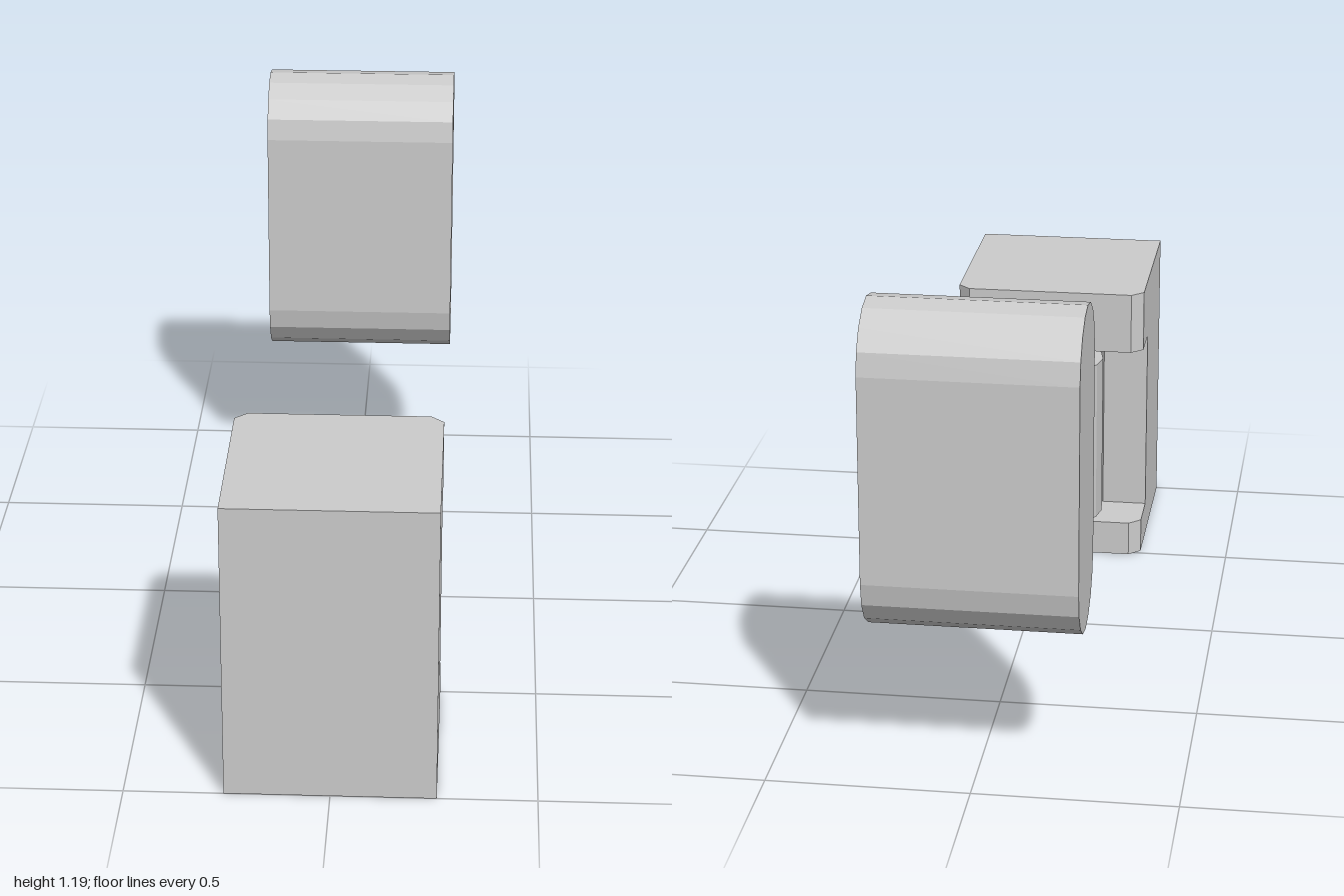
import * as THREE from 'three';

const material = new THREE.MeshStandardMaterial({ color: 0xcccccc, flatShading: true });
const thin = new THREE.MeshStandardMaterial({ color: 0xcccccc, flatShading: true, side: THREE.DoubleSide });

function add(parent, name, geometry, mat = material) {
  const mesh = new THREE.Mesh(geometry, mat);
  mesh.name = name;
  parent.add(mesh);
  return mesh;
}

// Extrudes a plan outline (x, -z) upwards from y0 to y1
function slab(shape, y0, y1) {
  return new THREE.ExtrudeGeometry(shape, { depth: y1 - y0, bevelEnabled: false, curveSegments: 8 })
    .rotateX(-Math.PI / 2).translate(0, y0, 0);
}

// Upright pill outline, ends rounded in 8 facets
function pill(cx, y0, y1, r, Type = THREE.Shape) {
  const points = [];
  for (const [cy, start] of [[y1 - r, 0], [y0 + r, Math.PI]]) {
    for (let i = 0; i <= 8; i++) {
      const a = start + i * Math.PI / 8;
      points.push(new THREE.Vector2(cx + r * Math.cos(a), cy + r * Math.sin(a)));
    }
  }
  return new Type(points);
}

const W = 0.257, BACK = 0.487, POT_Z = 0.554;

function createMachine() {
  const machine = new THREE.Group();
  machine.name = 'machine';

  // Base and overhang share a plan with two chamfered corners
  const plan = new THREE.Shape([
    [-W, -1], [W, -1], [W, -BACK - 0.03], [W - 0.032, -BACK], [-W + 0.032, -BACK], [-W, -BACK - 0.03],
  ].map(p => new THREE.Vector2(...p)));
  add(machine, 'base', slab(plan, 0, 0.095));
  add(machine, 'overhang', slab(plan, 0.605, 0.772));

  // Column with a round niche for the pot
  const column = new THREE.Shape();
  column.moveTo(-W, -1);
  column.lineTo(W, -1);
  column.lineTo(W, -0.64);
  const a = Math.asin((0.64 - POT_Z) / 0.16);
  column.absarc(0, -POT_Z, 0.16, -a, -Math.PI + a, true);
  column.lineTo(-W, -0.64);
  column.closePath();
  add(machine, 'column', slab(column, 0.095, 0.605));
  return machine;
}

function createPot() {
  const pot = new THREE.Group();
  pot.name = 'pot';
  add(pot, 'potBody', new THREE.CylinderGeometry(0.141, 0.141, 0.457, 16)).position.set(0, 0.3325, POT_Z);
  add(pot, 'potLid', new THREE.CylinderGeometry(0.111, 0.111, 0.06, 16)).position.set(0, 0.59, POT_Z);

  // Looped handle
  const loop = pill(0, 0.139, 0.502, 0.063);
  loop.holes.push(pill(0, 0.172, 0.46, 0.051, THREE.Path));
  const geometry = new THREE.ExtrudeGeometry(loop, { depth: 0.06, bevelEnabled: false })
    .translate(0, 0, -0.03).rotateY(Math.PI / 2);
  add(pot, 'potHandle', geometry).position.z = 0.355;
  return pot;
}

// Hollow pill-shaped tank, open in the middle of its left end
function createTank() {
  const tank = new THREE.Group();
  tank.name = 'tank';
  const r = 0.1475, y0 = 0.38, y1 = 1.19;
  const outline = pill(0, y0, y1, r);
  const pts = outline.getPoints();
  const positions = [];
  for (let i = 0; i < 18; i++) {
    const p = pts[i], q = pts[(i + 1) % 18];
    positions.push(p.x, p.y, -W, q.x, q.y, -W, q.x, q.y, W);
    positions.push(p.x, p.y, -W, q.x, q.y, W, p.x, p.y, W);
  }
  const wall = new THREE.BufferGeometry();
  wall.setAttribute('position', new THREE.Float32BufferAttribute(positions, 3));
  wall.computeVertexNormals();
  add(tank, 'tankWall', wall, thin);
  add(tank, 'tankClosedEnd', new THREE.ShapeGeometry(outline).rotateY(Math.PI), thin).position.z = -W;
  add(tank, 'tankUpperCap', new THREE.CircleGeometry(r, 8, 0, Math.PI), thin).position.set(0, y1 - r, W);
  add(tank, 'tankLowerCap', new THREE.CircleGeometry(r, 8, Math.PI, Math.PI), thin).position.set(0, y0 + r, W);
  tank.rotation.y = Math.PI / 2;
  tank.position.z = -0.8525;
  return tank;
}

export function createModel() {
  const model = new THREE.Group();
  model.name = 'coffeeMaker';
  model.add(createMachine(), createPot(), createTank());
  return model;
}
